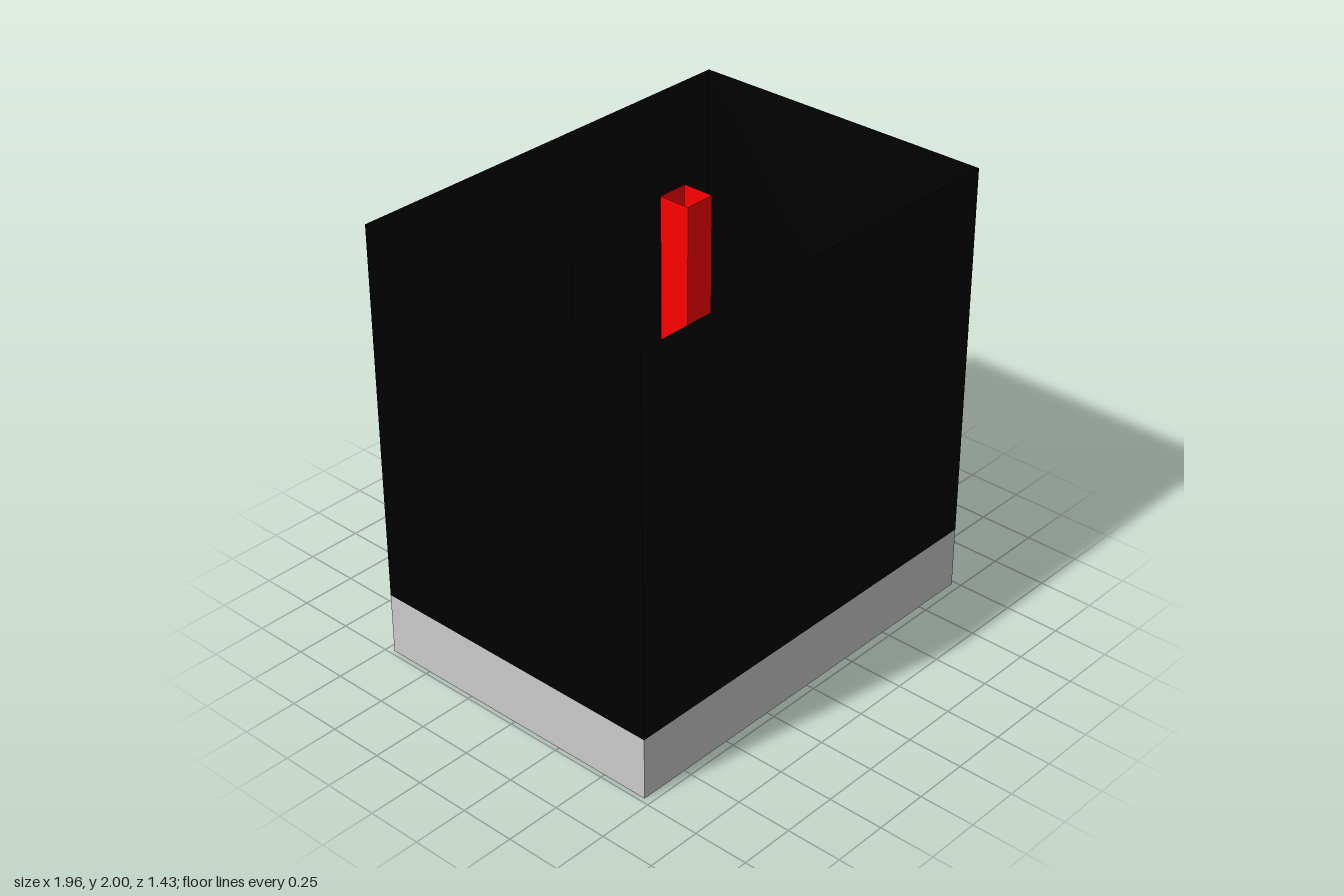
import * as THREE from 'three';

const FLOOR = 0.285;
const X = 0.98, Z = 0.715;

export function createModel() {
  const model = new THREE.Group();
  const grey = new THREE.MeshStandardMaterial({ color: 0xcccccc });
  const black = new THREE.MeshStandardMaterial({ color: 0x000000, side: THREE.DoubleSide });
  const red = new THREE.MeshStandardMaterial({ color: 0xff0000, side: THREE.DoubleSide });

  // Thin upright panel standing on the floor between two plan points
  function panel(name, material, x0, z0, x1, z1, top) {
    const height = top - FLOOR;
    const mesh = new THREE.Mesh(
      new THREE.PlaneGeometry(Math.hypot(x1 - x0, z1 - z0), height), material);
    mesh.name = name;
    mesh.position.set((x0 + x1) / 2, FLOOR + height / 2, (z0 + z1) / 2);
    mesh.rotation.y = -Math.atan2(z1 - z0, x1 - x0);
    return mesh;
  }

  // Four panels forming a box open at the top
  function openBox(name, material, x0, x1, z0, z1, top) {
    const group = new THREE.Group();
    group.name = name;
    group.add(
      panel(name + 'Front', material, x0, z1, x1, z1, top),
      panel(name + 'Left', material, x1, z1, x1, z0, top),
      panel(name + 'Back', material, x1, z0, x0, z0, top),
      panel(name + 'Right', material, x0, z0, x0, z1, top));
    return group;
  }

  // Solid base slab
  const base = new THREE.Mesh(new THREE.BoxGeometry(2 * X, FLOOR, 2 * Z), grey);
  base.name = 'base';
  base.position.y = FLOOR / 2;
  model.add(base);

  // Outer walls, roofless
  model.add(openBox('outerWall', black, -X, X, -Z, Z, 2));

  // Interior partitions
  model.add(panel('mainPartition', black, 0.122, -Z, 0.122, Z, 1.4));
  model.add(panel('sidePartition', black, 0.122, 0.14, X, 0.14, 1.4));

  // Chimney against the main partition, and the low box in the front room
  model.add(openBox('chimney', red, -0.02, 0.12, -0.075, 0.068, 1.98));
  model.add(openBox('lowBox', red, 0.295, 0.92, 0.425, 0.68, 0.57));

  return model;
}
